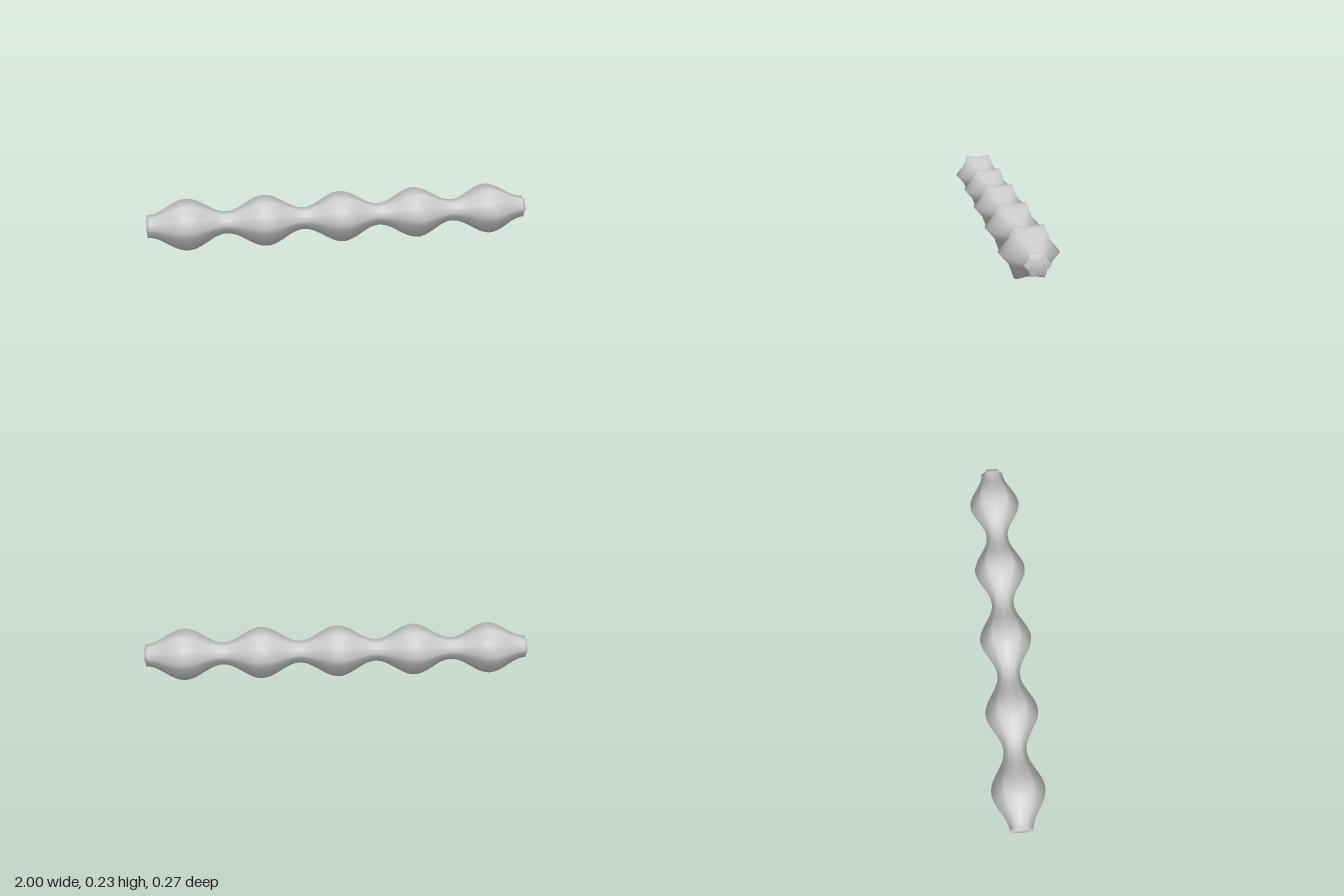
import * as THREE from 'three';

const SIDES = 12;      // six ridges and six valleys
const RINGS = 120;     // cross-sections along the length
const CENTRE_Y = 0.117;

// Ridge radius along the bar: five bulges, necks between them and at both ends
const ridgeRadius = (x) => 0.0965 + 0.0385 * Math.cos((2 * Math.PI * x) / 0.4);

export function createModel() {
  const positions = [];
  const indices = [];

  // Six-pointed star cross-sections
  for (let i = 0; i <= RINGS; i++) {
    const x = -1 + (2 * i) / RINGS;
    for (let j = 0; j < SIDES; j++) {
      const angle = (j / SIDES) * Math.PI * 2;
      const r = ridgeRadius(x) * (j % 2 ? 0.77 : 1);
      positions.push(x, CENTRE_Y + r * Math.sin(angle), r * Math.cos(angle));
    }
  }

  // Skin between neighbouring sections
  for (let i = 0; i < RINGS; i++) {
    for (let j = 0; j < SIDES; j++) {
      const a = i * SIDES + j;
      const b = i * SIDES + ((j + 1) % SIDES);
      const c = a + SIDES;
      const d = b + SIDES;
      indices.push(a, c, b, b, c, d);
    }
  }

  // Flat end caps, sharing the rim so the shading stays soft
  const left = positions.length / 3;
  positions.push(-1, CENTRE_Y, 0, 1, CENTRE_Y, 0);
  const last = RINGS * SIDES;
  for (let j = 0; j < SIDES; j++) {
    const k = (j + 1) % SIDES;
    indices.push(left, j, k, left + 1, last + k, last + j);
  }

  const geometry = new THREE.BufferGeometry();
  geometry.setAttribute('position', new THREE.Float32BufferAttribute(positions, 3));
  geometry.setIndex(indices);
  geometry.computeVertexNormals();

  const bar = new THREE.Mesh(geometry, new THREE.MeshStandardMaterial({ color: 0xcccccc }));
  bar.name = 'ridgedBeadedBar';

  const group = new THREE.Group();
  group.name = 'beadedStarBar';
  group.add(bar);
  return group;
}
